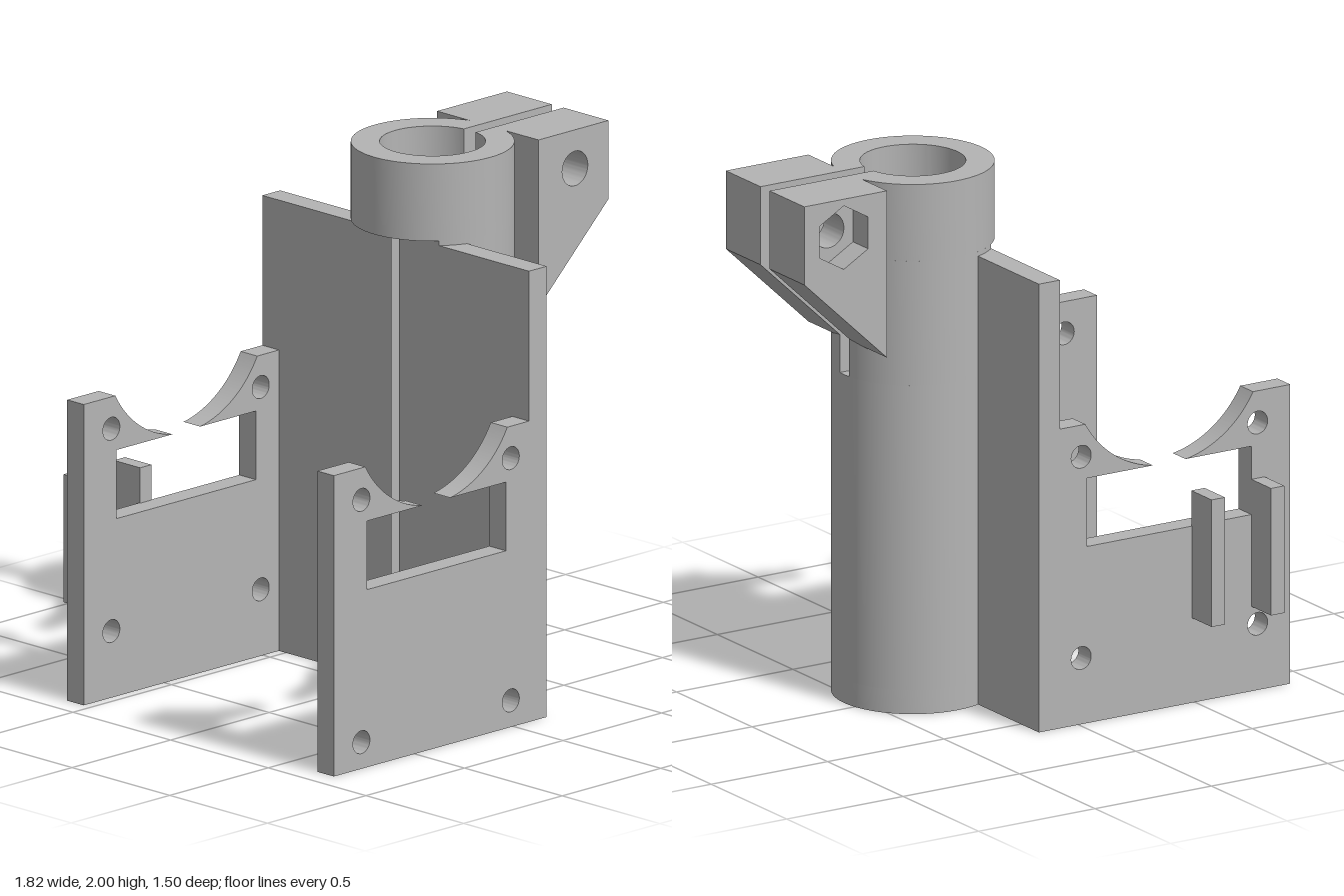
import * as THREE from 'three';
import { mergeGeometries, toCreasedNormals } from 'three/addons/utils/BufferGeometryUtils.js';

const grey = new THREE.MeshStandardMaterial({ color: 0xb4b4b4 });
grey.name = 'plain grey';

const R = 0.295, BORE = 0.191, FLAT = -0.19;   // tube radius, bore radius, flat face behind tube
const CX = 0.27, CZ = 0.06;                    // tube axis

function add(parent, name, geometry) {
  const mesh = new THREE.Mesh(geometry, grey);
  mesh.name = name;
  parent.add(mesh);
  return mesh;
}

function box(parent, name, x0, x1, y0, y1, z0, z1) {
  const g = new THREE.BoxGeometry(x1 - x0, y1 - y0, z1 - z0);
  g.translate((x0 + x1) / 2, (y0 + y1) / 2, (z0 + z1) / 2);
  return add(parent, name, g);
}

function extrude(shape, depth) {
  return new THREE.ExtrudeGeometry(shape, { depth, bevelEnabled: false, curveSegments: 32 });
}

// Upright plate between z0 and z1
function plate(parent, name, shape, z0, z1) {
  const g = extrude(shape, z1 - z0);
  g.translate(0, 0, z0);
  return add(parent, name, toCreasedNormals(g, 0.5));
}

function roundHole(x, y, r) {
  return new THREE.Path().absarc(x, y, r, 0, Math.PI * 2, true);
}

function arc(r, a0, a1, sign, n = 48) {
  return Array.from({ length: n + 1 }, (_, i) => {
    const a = a0 + (a1 - a0) * i / n;
    return new THREE.Vector2(r * Math.cos(a), sign * r * Math.sin(a));
  });
}

// Half of the tube's section: optional flat back and clamping slot
function halfRing(flat, slot, sign) {
  const outer = arc(R, Math.asin(slot / R), flat ? Math.acos(FLAT / R) : Math.PI, sign);
  const inner = arc(BORE, flat ? Math.acos(FLAT / BORE) : Math.PI, Math.asin(slot / BORE), sign);
  return new THREE.Shape([...outer, ...inner]);
}

function tubeLayer(parent, name, shapes, y0, y1) {
  const g = mergeGeometries(shapes.map((s) => extrude(s, y1 - y0)));
  g.rotateX(-Math.PI / 2);
  g.translate(CX, y0, CZ);
  return add(parent, name, toCreasedNormals(g, 0.5));
}

// Side plate with a window that breaks into the round cradle above it
function sidePlateShape(lowHoleY) {
  const cx = -0.39, cy = 1.332, r = 0.413;
  const s = new THREE.Shape();
  s.moveTo(-0.91, 0);
  s.lineTo(0.08, 0);
  s.lineTo(0.08, 1.13);
  const a0 = Math.atan2(1.13 - cy, 0.36), a1 = Math.atan2(0.925 - cy, 0.07);
  s.absarc(cx, cy, r, a0, a1, true);
  s.lineTo(-0.037, 0.925);
  s.lineTo(-0.037, 0.667);
  s.lineTo(-0.743, 0.667);
  s.lineTo(-0.743, 0.925);
  s.absarc(cx, cy, r, -Math.PI - a1, -Math.PI - a0, true);
  s.lineTo(-0.91, 1.13);
  for (const x of [-0.77, -0.012])
    for (const y of [1.01, lowHoleY]) s.holes.push(roundHole(x, y, 0.043));
  return s;
}

// Clamp ear with a round bolt hole or a six-sided nut pocket
function earShape(hex) {
  const s = new THREE.Shape([[0.55, 1.37], [0.905, 1.705], [0.905, 2], [0.55, 2]]
    .map(([x, y]) => new THREE.Vector2(x, y)));
  const x = 0.735, y = 1.855;
  s.holes.push(hex
    ? new THREE.Path(Array.from({ length: 6 }, (_, i) => {
      const a = Math.PI / 6 - i * Math.PI / 3;
      return new THREE.Vector2(x + 0.12 * Math.cos(a), y + 0.12 * Math.sin(a));
    }))
    : roundHole(x, y, 0.065));
  return s;
}

export function createModel() {
  const model = new THREE.Group();
  model.name = 'clampBracket';

  // Tube: closed floor, bored body, slotted body, full clamp ring
  const tube = new THREE.Group();
  tube.name = 'tube';
  model.add(tube);
  const a = Math.acos(FLAT / R);
  const both = (flat, slot) => [1, -1].map((sign) => halfRing(flat, slot, sign));
  tubeLayer(tube, 'tubeFloor', [new THREE.Shape(arc(R, -a, a, 1, 96))], 0, 0.09);
  tubeLayer(tube, 'tubeBody', both(true, 0), 0.09, 1.24);
  tubeLayer(tube, 'slottedBody', both(true, 0.03), 1.24, 1.71);
  tubeLayer(tube, 'clampRing', both(false, 0.03), 1.71, 2);

  // Clamp ears
  const ears = new THREE.Group();
  ears.name = 'clampEars';
  model.add(ears);
  plate(ears, 'frontEar', earShape(false), 0.09, 0.32);
  plate(ears, 'backEarInner', earShape(false), -0.1, 0.03);
  plate(ears, 'backEarNutPocket', earShape(true), -0.2, -0.1);

  // Wall on both sides of the tube
  box(model, 'frontWall', 0.08, 0.17, 0, 1.693, CZ + 0.22, 0.745);
  box(model, 'backWall', 0.08, 0.17, 0, 1.693, -0.62, CZ - 0.22);

  // Side plates; the back one has its lower holes set higher
  plate(model, 'frontSidePlate', sidePlateShape(0.1), 0.66, 0.745);
  plate(model, 'backSidePlate', sidePlateShape(0.25), -0.62, -0.535);

  // Upright ribs on the back plate
  for (const x of [-0.8, -0.545]) box(model, 'rib', x, x + 0.057, 0.32, 0.8, -0.75, -0.615);

  return model;
}
